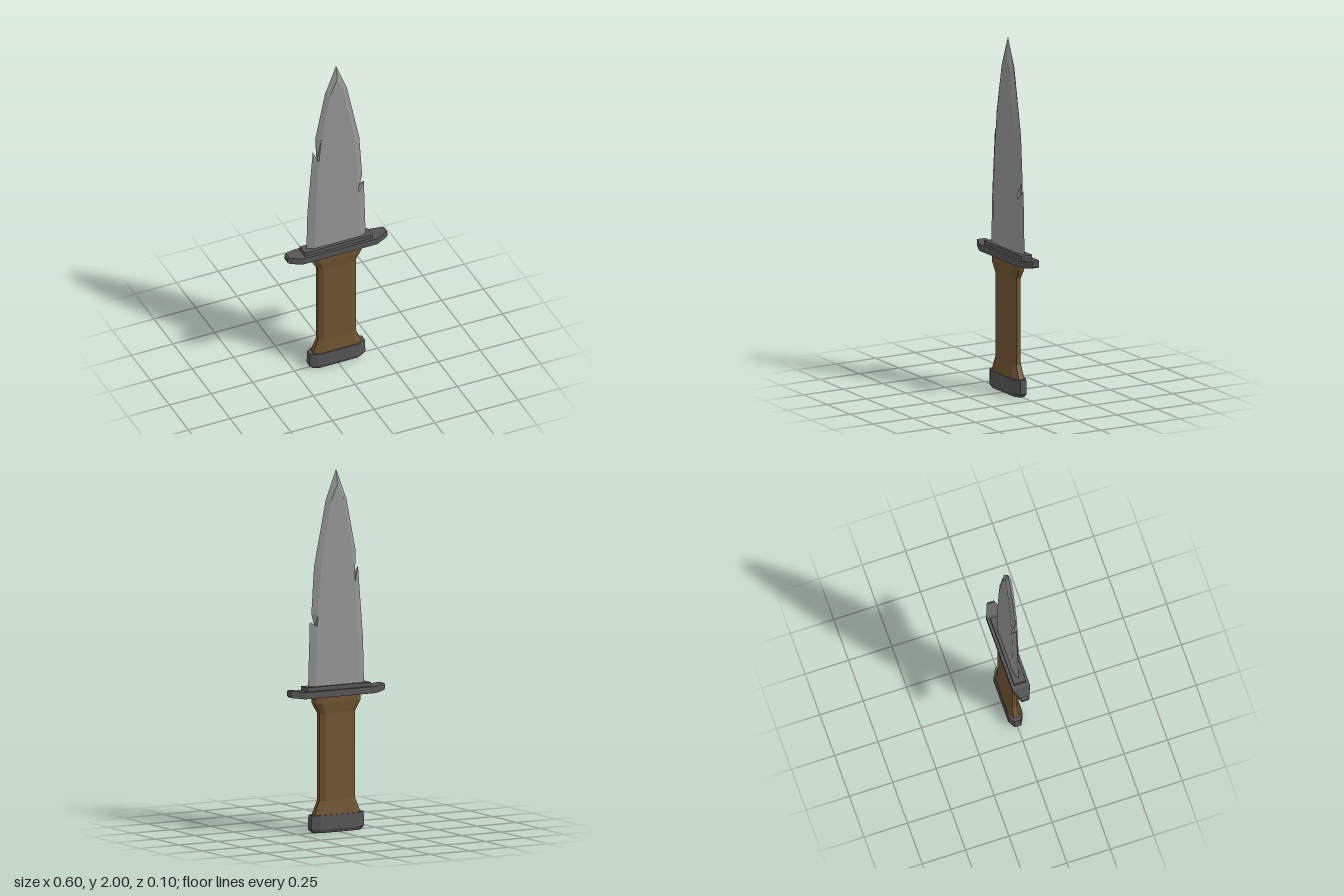
import * as THREE from 'three';

const steel = new THREE.MeshStandardMaterial({ color: 0x949494, flatShading: true });
const iron = new THREE.MeshStandardMaterial({ color: 0x555555, flatShading: true });
const wood = new THREE.MeshStandardMaterial({ color: 0x6f5330, flatShading: true });

// Skins a series of closed rings and caps both ends
function loft(name, rings, material) {
  const pos = [];
  const n = rings[0].length;
  const tri = (a, b, c) => pos.push(...a, ...b, ...c);
  for (let r = 0; r < rings.length - 1; r++) {
    const a = rings[r], b = rings[r + 1];
    for (let i = 0; i < n; i++) {
      const j = (i + 1) % n;
      tri(a[j], a[i], b[i]);
      tri(a[j], b[i], b[j]);
    }
  }
  const first = rings[0], last = rings[rings.length - 1];
  for (let k = 1; k < n - 1; k++) {
    tri(first[0], first[k], first[k + 1]);
    tri(last[0], last[k + 1], last[k]);
  }
  const geo = new THREE.BufferGeometry();
  geo.setAttribute('position', new THREE.Float32BufferAttribute(pos, 3));
  geo.computeVertexNormals();
  const mesh = new THREE.Mesh(geo, material);
  mesh.name = name;
  return mesh;
}

// Flattened octagon at height y: half width, half depth, corner cut in x
function octagon(y, hx, hz, cut) {
  const fx = hx - cut, fz = hz * 0.45;
  return [[hx, fz], [fx, hz], [-fx, hz], [-hx, fz], [-hx, -fz], [-fx, -hz], [fx, -hz], [hx, -fz]]
    .map(([x, z]) => [x, y, z]);
}

export function createModel() {
  const group = new THREE.Group();

  // Blade: cutting edges with one nick each, bevelled to a flat centre
  const edgeL = [[-0.178, 0.8], [-0.172, 1.05], [-0.14, 1.455], [-0.115, 1.39], [-0.125, 1.54], [-0.066, 1.83], [0, 2]];
  const flatL = [[-0.135, 0.8], [-0.13, 1.05], [-0.113, 1.37], [-0.11, 1.39], [-0.095, 1.54], [-0.04, 1.83], [0, 1.92]];
  const edgeR = [[0.178, 0.8], [0.167, 1.165], [0.135, 1.14], [0.157, 1.21], [0.14, 1.47], [0.066, 1.83], [0, 2]];
  const flatR = [[0.14, 0.8], [0.13, 1.11], [0.128, 1.14], [0.125, 1.2], [0.105, 1.47], [0.04, 1.83], [0, 1.92]];
  const t = 0.017;
  group.add(loft('blade', edgeL.map((e, i) => [
    [...edgeR[i], 0], [...flatR[i], t], [...flatL[i], t],
    [...e, 0], [...flatL[i], -t], [...flatR[i], -t],
  ]), steel));

  // Crossguard: tapered ends tilted slightly upward
  const half = [[0.225, 0.75, 0.787, 0.05], [0.29, 0.758, 0.798, 0.024], [0.3, 0.766, 0.792, 0.02]];
  const sections = [...half.map(([x, ...s]) => [-x, ...s]).reverse(), ...half];
  group.add(loft('crossguard', sections.map(([x, y0, y1, z]) =>
    [[x, y1, z], [x, y1, -z], [x, y0, -z], [x, y0, z]]), iron));

  // Collar plate under the blade
  const collar = new THREE.Mesh(new THREE.BoxGeometry(0.406, 0.03, 0.068), iron);
  collar.name = 'collar';
  collar.position.y = 0.795;
  group.add(collar);

  // Grip: flares at both ends
  group.add(loft('grip', [
    octagon(0.08, 0.145, 0.036, 0.035),
    octagon(0.1, 0.145, 0.036, 0.035),
    octagon(0.175, 0.114, 0.03, 0.028),
    octagon(0.66, 0.114, 0.03, 0.028),
    octagon(0.715, 0.145, 0.037, 0.035),
    octagon(0.76, 0.145, 0.037, 0.035),
  ], wood));

  // Pommel
  group.add(loft('pommel', [
    octagon(0, 0.15, 0.032, 0.035),
    octagon(0.02, 0.168, 0.042, 0.042),
    octagon(0.098, 0.165, 0.041, 0.042),
  ], iron));

  return group;
}
